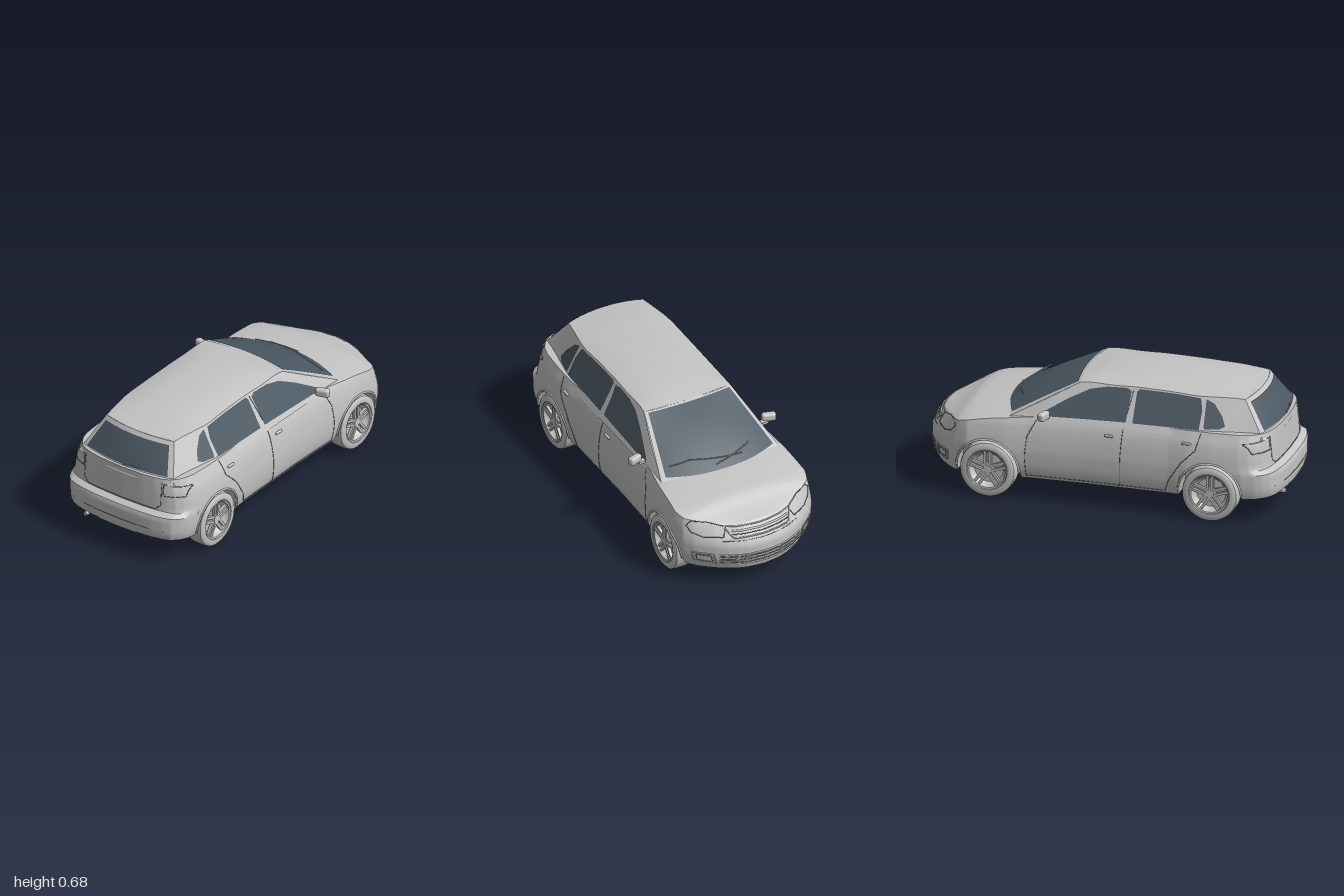
import * as THREE from 'three';
import { toCreasedNormals } from 'three/addons/utils/BufferGeometryUtils.js';
import { RoundedBoxGeometry } from 'three/addons/geometries/RoundedBoxGeometry.js';

const mat = (name, color, side) => Object.assign(new THREE.MeshStandardMaterial({ color, side }), { name });
const paint = mat('light grey', 0xc4c4c4, THREE.DoubleSide);
const glass = mat('slate glass', 0x4b5862, THREE.DoubleSide);
const gap = mat('panel gap grey', 0x666666, THREE.FrontSide);

const lerp = THREE.MathUtils.lerp;
const smooth = (x, a, b) => (a < b ? THREE.MathUtils.smoothstep(x, a, b) : THREE.MathUtils.smoothstep(-x, -a, -b));
// Piecewise profile, optionally softened over a distance d
function profile(pts, d = 0) {
  const f = x => {
    if (x <= pts[0][0]) return pts[0][1];
    for (let i = 1; i < pts.length; i++) {
      const [a, p] = pts[i - 1], [b, q] = pts[i];
      if (x <= b) return lerp(p, q, (x - a) / (b - a));
    }
    return pts[pts.length - 1][1];
  };
  return d ? x => (f(x - d) + f(x - d / 2) + f(x) + f(x + d / 2) + f(x + d)) / 5 : f;
}

// Lower body: plan half width, shoulder, centre and floor heights along x
const halfWidth = profile([[-0.995, 0], [-0.99, 0.15], [-0.98, 0.23], [-0.965, 0.29], [-0.945, 0.335], [-0.91, 0.365],
  [-0.87, 0.385], [-0.8, 0.4], [-0.63, 0.41], [-0.5, 0.408], [-0.4, 0.396], [0.08, 0.39], [0.38, 0.396], [0.5, 0.408],
  [0.7, 0.41], [0.78, 0.385], [0.83, 0.345], [0.87, 0.3], [0.91, 0.25], [0.94, 0.2], [0.965, 0.145], [0.98, 0.095], [0.99, 0]]);
const shoulder = profile([[-1, 0.485], [0, 0.483], [0.2, 0.476], [0.42, 0.455], [0.6, 0.435], [0.72, 0.413], [0.8, 0.4], [0.9, 0.385], [0.99, 0.365]], 0.04);
const centreTop = profile([[-1, 0.485], [0.2, 0.485], [0.45, 0.483], [0.6, 0.466], [0.75, 0.445], [0.87, 0.42], [0.94, 0.397], [0.99, 0.37]], 0.03);
const floorY = profile([[-1, 0.145], [-0.85, 0.11], [0.85, 0.1], [0.95, 0.115], [1, 0.12]]);
const sill = profile([[-1, 0.15], [-0.85, 0.138], [-0.4, 0.125], [1, 0.12]]);
const inset = profile([[0.1, -0.035], [0.15, -0.012], [0.2, -0.003], [0.28, 0], [0.36, -0.009], [0.42, -0.022], [0.46, -0.04], [0.5, -0.058]], 0.015);
const noseShift = profile([[0.1, -0.03], [0.14, -0.01], [0.2, 0], [0.27, 0], [0.31, -0.02], [0.36, -0.06], [0.41, -0.1], [0.46, -0.12]], 0.01);
const tailShift = profile([[0.14, 0.01], [0.18, 0], [0.28, 0], [0.3, 0.043], [0.49, 0.054]]);
const WHEELS = [-0.628, 0.59], HUB = 0.152, ARCH = 0.172;
const sideZ = (x, y) => halfWidth(x) * (1 + inset(y) / 0.4);
const shiftX = (x, y) => x + noseShift(y) * smooth(x, 0.7, 0.97) + tailShift(y) * smooth(x, -0.7, -0.95);
const bottom = x => Math.max(sill(x), ...WHEELS.map(c => (Math.abs(x - c) < ARCH ? HUB + Math.sqrt(ARCH ** 2 - (x - c) ** 2) : 0)));

// Greenhouse: roof centre line, rail height and leaning side walls
const roofY = profile([[-0.82, 0.642], [-0.6, 0.67], [-0.4, 0.681], [-0.2, 0.685], [-0.05, 0.68], [0.07, 0.667], [0.14, 0.65]], 0.04);
const railY = x => roofY(x) - 0.008 - 0.022 * smooth(x, -0.8, -0.5) * smooth(x, 0.14, -0.1);
const wallZ = (x, y) => 0.361 - 0.106 * (y - 0.455) / 0.197 - 0.05 * smooth(x, -0.5, -0.9) - 0.012 * smooth(x, 0.25, 0.48);
const BASE = 0.452, REAR_B = -0.9, REAR_T = -0.775, FRONT_B = 0.48, FRONT_T = 0.12;

const add = (g, name, geo, m) => { const o = new THREE.Mesh(geo, m); o.name = name; g.add(o); return o; };

// Surface from a rule f(u, v)
function grid(f, nu, nv, crease = 0.6) {
  const pos = [], idx = [];
  for (let i = 0; i <= nu; i++) for (let j = 0; j <= nv; j++) pos.push(...f(i / nu, j / nv));
  for (let i = 0; i < nu; i++) for (let j = 0; j < nv; j++) {
    const a = i * (nv + 1) + j, b = a + nv + 1;
    idx.push(a, b, b + 1, a, b + 1, a + 1);
  }
  const geo = new THREE.BufferGeometry();
  geo.setAttribute('position', new THREE.Float32BufferAttribute(pos, 3));
  geo.setIndex(idx);
  return toCreasedNormals(geo, crease);
}

// One closed cross-section of the lower body, with wheel wells and floor
function bodySection(x) {
  const half = [], b = bottom(x), s = shoulder(x), c = centreTop(x), w = sideZ(x, s), f = Math.min(floorY(x), b);
  const put = (y, z) => half.push([shiftX(x, y), y, z]);
  put(f, 0); put(f, 0.7 * halfWidth(x)); put(b, 0.7 * halfWidth(x));
  for (let k = 0; k <= 20; k++) { const y = lerp(b, s, k / 20); put(y, sideZ(x, y)); }
  for (let k = 1; k <= 10; k++) { const q = 1 - k / 10; put(s + (c - s) * (1 - q ** 2.2), q * w); }
  return [...half, ...half.slice(0, -1).reverse().map(([px, y, z]) => [px, y, -z])];
}

// Point on the nose (sign 1) or tail (sign -1) at a given z and height
function endPoint(sign, z, y) {
  let a = sign * 0.7, b = sign > 0 ? 0.99 : -0.995;
  for (let i = 0; i < 30; i++) { const m = (a + b) / 2; if (sideZ(m, y) > Math.abs(z)) a = m; else b = m; }
  return [shiftX(a, y), y, z];
}

// Thin strip that follows a surface through 2D points
function strip(g, name, pts, map, r, m, closed = false) {
  const out = [], all = closed ? [...pts, pts[0]] : pts;
  for (let i = 1; i < all.length; i++) for (let k = 0; k < 6; k++)
    out.push(new THREE.Vector3(...map(lerp(all[i - 1][0], all[i][0], k / 6), lerp(all[i - 1][1], all[i][1], k / 6))));
  if (!closed) out.push(new THREE.Vector3(...map(...all[all.length - 1])));
  add(g, name, new THREE.TubeGeometry(new THREE.CatmullRomCurve3(out, closed), out.length * 2, r, 6, closed), m);
}

// Windscreen and rear window surfaces; u runs across (-1..1), v upwards
const frontPane = (u, v, o = 0) => {
  const xt = 0.14 - 0.02 * u * u, bulge = 0.012 * Math.sin(Math.PI * v) * (1 - u * u);
  return [lerp(0.575 - 0.095 * u * u, xt, v) + bulge * 0.5 + o * 0.5,
    lerp(BASE, lerp(roofY(0.14), railY(FRONT_T), u * u), v) + bulge + o,
    u * lerp(wallZ(FRONT_B, BASE), wallZ(FRONT_T, railY(FRONT_T)), v)];
};
const rearPane = (u, v, o = 0) => [
  lerp(-0.945 + 0.045 * u * u, -0.81 + 0.035 * u * u, v) - 0.008 * Math.sin(Math.PI * v) * (1 - u * u) - o,
  lerp(BASE, lerp(roofY(-0.81), railY(REAR_T), u * u), v) + o * 0.5,
  u * lerp(wallZ(REAR_B, BASE), wallZ(REAR_T, railY(REAR_T)), v)];

const WINDOWS = {
  frontDoorWindow: [[-0.155, 0.486], [-0.165, 0.635], [-0.14, 0.647], [-0.03, 0.643], [0.06, 0.624], [0.17, 0.57], [0.31, 0.486], [0.31, 0.472], [0.1, 0.48]],
  rearDoorWindow: [[-0.555, 0.488], [-0.56, 0.58], [-0.545, 0.636], [-0.4, 0.645], [-0.21, 0.648], [-0.195, 0.635], [-0.192, 0.485]],
  quarterWindow: [[-0.69, 0.51], [-0.67, 0.555], [-0.62, 0.615], [-0.575, 0.634], [-0.578, 0.5], [-0.585, 0.492], [-0.66, 0.496]],
};

function makeWheel() {
  const w = new THREE.Group();
  const lathe = (pts, n) => new THREE.LatheGeometry(pts.map(p => new THREE.Vector2(...p)), n).rotateX(Math.PI / 2);
  add(w, 'tyre', toCreasedNormals(lathe([[0.1, -0.052], [0.135, -0.055], [0.148, -0.046], [0.152, -0.03], [0.152, 0.03],
    [0.148, 0.046], [0.135, 0.055], [0.112, 0.053], [0.108, 0.048]], 40), 0.7), paint);
  add(w, 'rim', toCreasedNormals(lathe([[0, 0.012], [0.08, 0.012], [0.095, 0.03], [0.1, 0.048], [0.108, 0.05]], 40), 0.6), paint);
  add(w, 'innerDisc', lathe([[0.1, -0.05], [0, -0.045]], 32), paint);
  add(w, 'hub', new THREE.CylinderGeometry(0.024, 0.032, 0.034, 20).rotateX(Math.PI / 2).translate(0, 0, 0.027), paint);
  for (let k = 0; k < 5; k++) for (const s of [-1, 1]) {
    const spoke = add(w, 'spoke', new THREE.BoxGeometry(0.014, 0.086, 0.016).translate(s * 0.013, 0.06, 0.034), paint);
    spoke.rotation.z = k * Math.PI * 0.4;
  }
  return w;
}

export function createModel() {
  const car = new THREE.Group();
  car.name = 'hatchbackCar';

  // Lower body shell
  const N = 220, rows = [];
  for (let i = 0; i <= N; i++) rows.push(bodySection(-0.0025 + 0.9925 * Math.sin((i / N - 0.5) * Math.PI)));
  const M = rows[0].length - 1;
  add(car, 'bodyShell', grid((u, v) => rows[Math.round(u * N)][Math.round(v * M)], N, M), paint);

  // Roof, window frames and panes
  add(car, 'roof', grid((u, v) => {
    const q = 1 - 2 * v, bow = q * q;
    const x = lerp(-0.81 + 0.035 * bow, 0.14 - 0.02 * bow, u), xr = lerp(REAR_T, FRONT_T, u);
    return [x, lerp(roofY(x), railY(xr), Math.abs(q) ** 2.4), q * wallZ(xr, railY(xr))];
  }, 40, 24), paint);
  add(car, 'windscreenFrame', grid((u, v) => frontPane(1 - 2 * u, v), 20, 10), paint);
  add(car, 'windscreen', grid((u, v) => frontPane(0.93 * (1 - 2 * u), lerp(0.06, 0.97, v), 0.004), 20, 10), glass);
  add(car, 'rearFrame', grid((u, v) => rearPane(2 * u - 1, v), 20, 10), paint);
  add(car, 'rearWindow', grid((u, v) => rearPane(0.9 * (2 * u - 1), lerp(0.2, 0.9, v), 0.005), 20, 10), glass);

  for (const s of [1, -1]) {
    const at = (x, y, o = 0) => [x, y, s * ((y > 0.48 ? wallZ(x, y) : sideZ(x, y)) + o)];
    add(car, 'cabinSide', grid((u, v) => {
      const xt = lerp(REAR_T, FRONT_T, u), x = lerp(lerp(REAR_B, FRONT_B, u), xt, v), y = lerp(BASE, railY(xt), v);
      return [x, y, s * wallZ(x, y)];
    }, 40, 8), paint);

    // Side glass
    for (const [name, pts] of Object.entries(WINDOWS)) {
      const geo = new THREE.ShapeGeometry(new THREE.Shape(pts.map(p => new THREE.Vector2(...p))));
      const p = geo.attributes.position;
      for (let i = 0; i < p.count; i++) p.setZ(i, s * (wallZ(p.getX(i), p.getY(i)) + 0.005));
      geo.computeVertexNormals();
      add(car, name, geo, glass);
    }

    // Door gaps, handles and arch lips
    strip(car, 'rearDoorGap', [[-0.57, 0.475], [-0.55, 0.39], [-0.47, 0.31], [-0.4, 0.2], [-0.38, 0.135]], at, 0.002, gap);
    strip(car, 'middleDoorGap', [[-0.175, 0.64], [-0.145, 0.47], [-0.135, 0.3], [-0.13, 0.135]], at, 0.002, gap);
    strip(car, 'frontDoorGap', [[0.33, 0.45], [0.375, 0.36], [0.387, 0.25], [0.38, 0.135]], at, 0.002, gap);
    strip(car, 'sillGap', [[-0.38, 0.14], [0.38, 0.14]], at, 0.002, gap);
    for (const [x, y] of [[-0.5, 0.42], [-0.07, 0.41]])
      add(car, 'doorHandle', new RoundedBoxGeometry(0.05, 0.013, 0.014, 2, 0.005), paint).position.set(...at(x, y, 0.004));
    for (const c of WHEELS) {
      const arc = Array.from({ length: 9 }, (_, i) => [Math.PI * i / 8, 0]);
      strip(car, 'archLip', arc, a => at(c + ARCH * Math.cos(a), HUB + ARCH * Math.sin(a)), 0.006, paint);
      const wheel = makeWheel();
      wheel.name = 'wheel';
      wheel.position.set(c, HUB, s * 0.35);
      if (s < 0) wheel.rotation.y = Math.PI;
      car.add(wheel);
    }

    // Door mirror
    const mirror = add(car, 'doorMirror', new RoundedBoxGeometry(0.04, 0.046, 0.078, 3, 0.014), paint);
    mirror.position.set(0.28, 0.492, s * 0.4);
    mirror.rotation.y = s * 0.3;
    add(car, 'mirrorArm', new THREE.BoxGeometry(0.03, 0.014, 0.05), paint).position.set(0.29, 0.475, s * 0.36);

    // Lamp outlines and fog lamp frames
    const nose = (z, y) => endPoint(1, s * z, y), tail = (z, y) => endPoint(-1, s * z, y);
    strip(car, 'headlamp', [[0.185, 0.365], [0.21, 0.32], [0.3, 0.315], [0.35, 0.335], [0.365, 0.37], [0.34, 0.393], [0.26, 0.385]], nose, 0.0025, gap, true);
    strip(car, 'fogLampFrame', [[0.25, 0.16], [0.34, 0.165], [0.355, 0.22], [0.265, 0.22]], nose, 0.004, paint, true);
    strip(car, 'fogLamp', [[0.265, 0.168], [0.33, 0.172], [0.338, 0.208], [0.275, 0.208]], nose, 0.0025, gap, true);
    strip(car, 'tailLamp', [[0.26, 0.39], [0.36, 0.39], [0.365, 0.44], [0.26, 0.455]], tail, 0.0025, gap, true);
  }

  // Grille and lower intake
  const nose = (z, y) => endPoint(1, z, y), tail = (z, y) => endPoint(-1, z, y);
  strip(car, 'grilleFrame', [[-0.195, 0.364], [0.195, 0.364], [0.165, 0.315], [-0.165, 0.315]], nose, 0.004, paint, true);
  strip(car, 'grilleBar', [[-0.165, 0.345], [0.165, 0.345]], nose, 0.006, paint);
  strip(car, 'grilleGap', [[-0.165, 0.33], [0.165, 0.33]], nose, 0.003, gap);
  strip(car, 'bumperGap', [[-0.22, 0.3], [0.22, 0.3]], nose, 0.0015, gap);
  for (const y of [0.158, 0.178, 0.198, 0.218]) {
    strip(car, 'intakeSlat', [[-0.24, y], [0.24, y]], nose, 0.005, paint);
    if (y < 0.21) strip(car, 'intakeGap', [[-0.235, y + 0.01], [0.235, y + 0.01]], nose, 0.003, gap);
  }

  // Tailgate gap, rear bumper line and exhaust
  strip(car, 'tailgateGap', [[-0.25, 0.46], [-0.25, 0.33], [-0.22, 0.305], [0.22, 0.305], [0.25, 0.33], [0.25, 0.46]], tail, 0.002, gap);
  strip(car, 'rearBumperGap', [[-0.3, 0.2], [0.3, 0.2]], tail, 0.002, gap);
  const pipe = add(car, 'exhaust', new THREE.CylinderGeometry(0.012, 0.012, 0.1, 16).rotateZ(Math.PI / 2), paint);
  pipe.position.set(-0.94, 0.14, -0.2);

  // Wipers and axles
  const onScreen = (u, v) => frontPane(u, v, 0.012), onRear = (u, v) => rearPane(u, v, 0.01);
  strip(car, 'wiper', [[-0.6, 0.16], [-0.1, 0.21], [0.25, 0.25], [0.6, 0.2]].map(([u, v]) => [u + 0.25, v]), onScreen, 0.003, paint);
  strip(car, 'wiper', [[-0.55, 0.24], [-0.2, 0.18], [0.15, 0.13]], onScreen, 0.003, paint);
  strip(car, 'rearWiper', [[0, 0.2], [0.4, 0.26]], onRear, 0.003, paint);
  for (const c of WHEELS)
    add(car, 'axle', new THREE.CylinderGeometry(0.016, 0.016, 0.64, 12).rotateX(Math.PI / 2), paint).position.set(c, HUB - 0.035, 0);
  return car;
}
